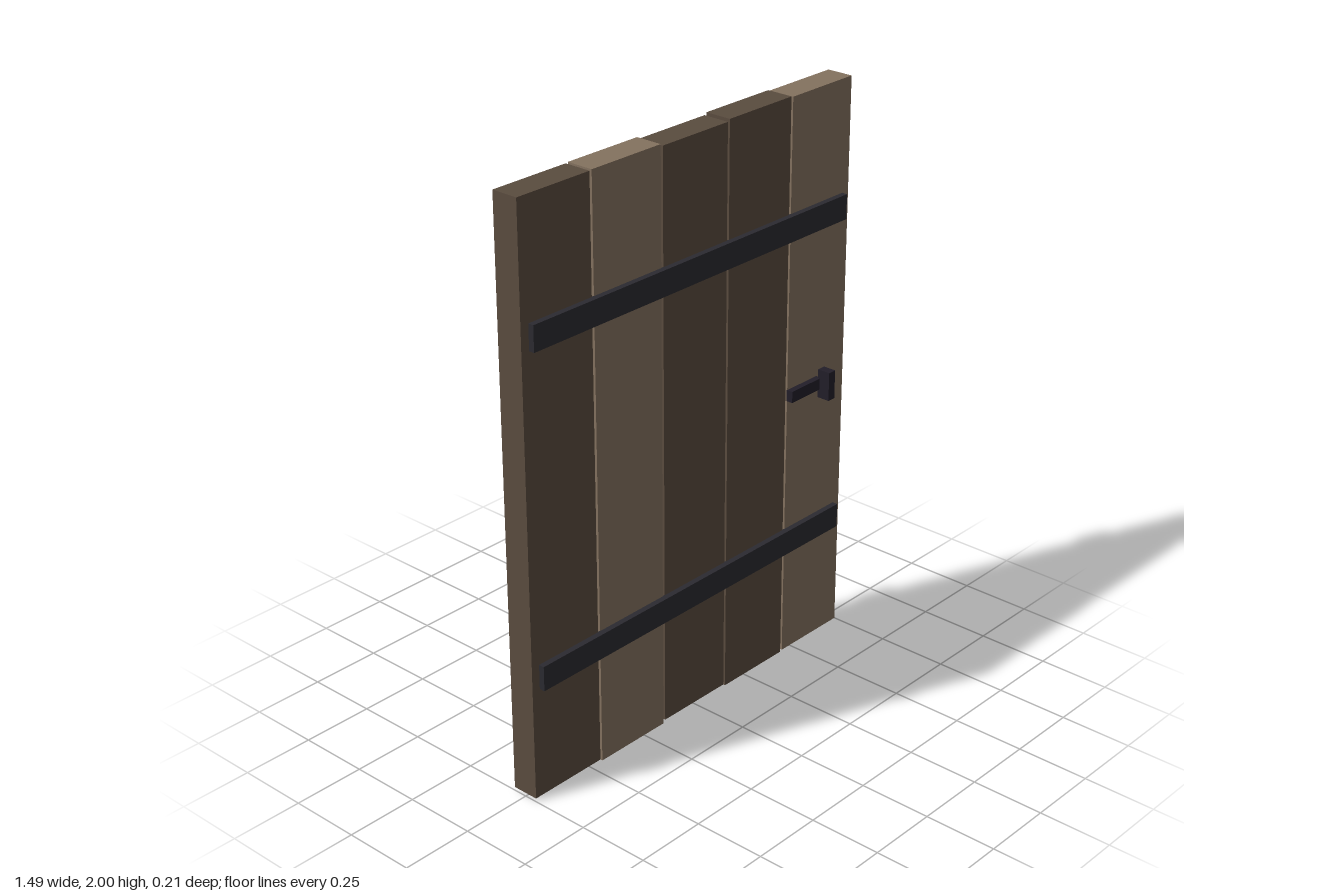
import * as THREE from 'three';

const material = (color) => new THREE.MeshStandardMaterial({ color, flatShading: true });

// Adds a box given its extents along each axis
function addBox(parent, name, mat, [x0, x1], [y0, y1], [z0, z1]) {
  const mesh = new THREE.Mesh(new THREE.BoxGeometry(x1 - x0, y1 - y0, z1 - z0), mat);
  mesh.position.set((x0 + x1) / 2, (y0 + y1) / 2, (z0 + z1) / 2);
  mesh.name = name;
  parent.add(mesh);
}

export function createModel() {
  const door = new THREE.Group();
  door.name = 'plankDoor';
  const darkWood = material(0x5a4c3f);
  const lightWood = material(0x84725f);
  const battenWood = material(0x4b3a2f);
  const iron = material(0x2b2a30);
  const latchIron = material(0x221e29);

  // Vertical planks with slightly uneven ends
  const planks = [
    [darkWood, 0.008, 1.998],
    [lightWood, 0, 2],
    [darkWood, 0.01, 1.993],
    [darkWood, 0.003, 2],
    [lightWood, 0.007, 1.997],
  ];
  planks.forEach(([mat, bottom, top], i) => {
    const x = -0.601 + i * 0.299;
    addBox(door, `plank${i + 1}`, mat, [x - 0.145, x + 0.145], [bottom, top], [-0.052, 0.042]);
  });

  // Iron straps on the front, wooden battens on the back
  [['lower', 0.438], ['upper', 1.568]].forEach(([level, y]) => {
    addBox(door, `${level}Strap`, iron, [-0.715, 0.71], [y - 0.043, y + 0.043], [0.04, 0.062]);
    addBox(door, `${level}Batten`, battenWood, [-0.663, 0.66], [y - 0.068, y + 0.068], [-0.106, -0.052]);
  });

  // Latch bar and its upright grip
  const latch = new THREE.Group();
  latch.name = 'latch';
  addBox(latch, 'latchBar', latchIron, [0.45, 0.6], [0.957, 0.997], [0.04, 0.064]);
  addBox(latch, 'latchGrip', latchIron, [0.592, 0.623], [0.927, 1.028], [0.056, 0.103]);
  door.add(latch);

  return door;
}
